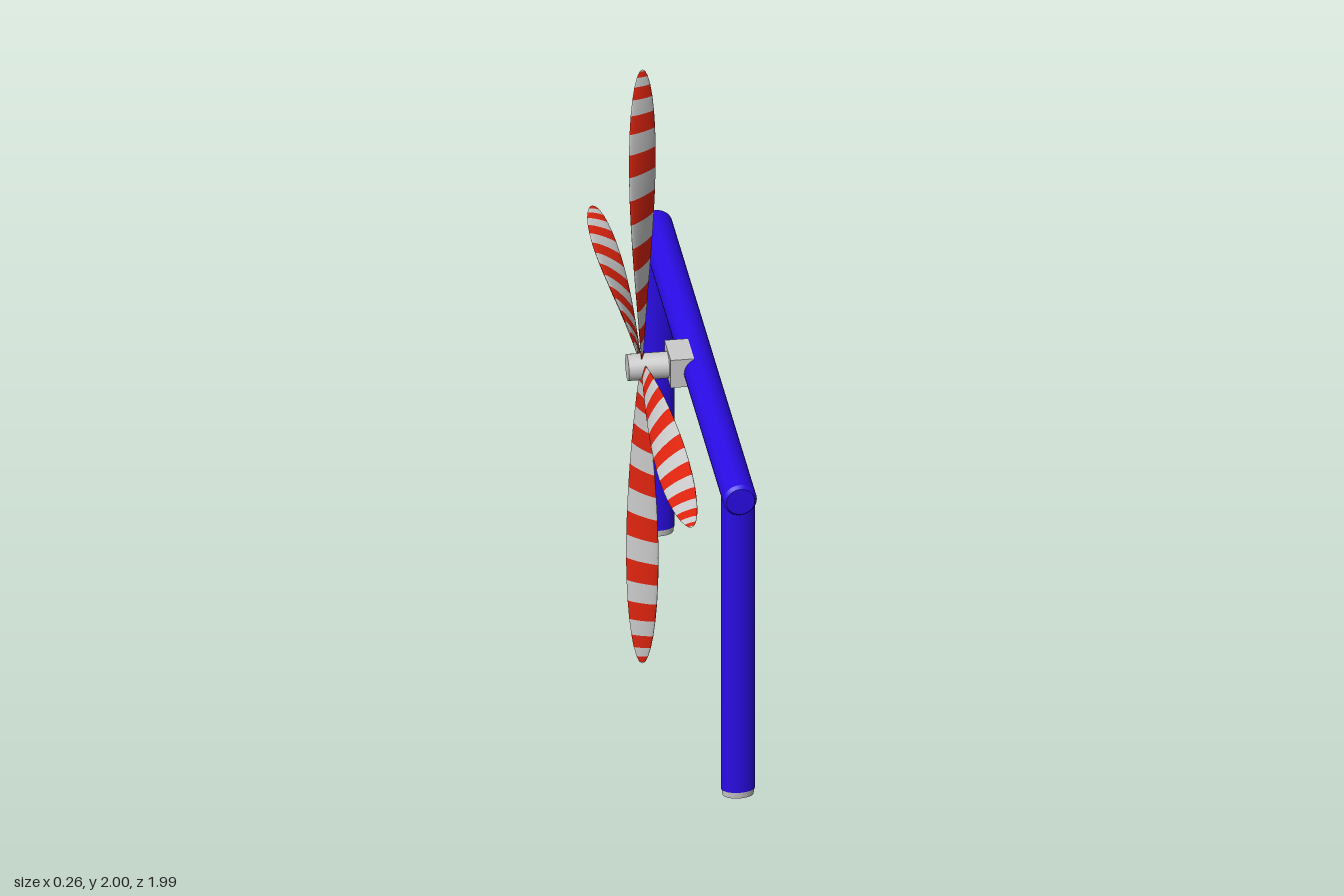
import * as THREE from 'three';

const AXLE_Y = 1.005, BEAM_X = 0.08, ROTOR_X = -0.085;

const mat = (color) => new THREE.MeshStandardMaterial({ color });

function addMesh(parent, name, geometry, material, x = 0, y = 0, z = 0) {
  const mesh = new THREE.Mesh(geometry, material);
  mesh.name = name;
  mesh.position.set(x, y, z);
  parent.add(mesh);
  return mesh;
}

// Long thin ellipsoid standing on the axle, twisted from root to tip
function bladeGeometry(length, halfChord, halfThick, sides, bands) {
  const geo = new THREE.SphereGeometry(1, sides, bands);
  const pos = geo.attributes.position;
  for (let i = 0; i < pos.count; i++) {
    const r = (pos.getY(i) + 1) / 2;
    const a = THREE.MathUtils.degToRad(78 - 66 * r);
    const c = pos.getX(i) * halfChord, t = pos.getZ(i) * halfThick;
    pos.setXYZ(i, c * Math.cos(a) + t * Math.sin(a), r * length, t * Math.cos(a) - c * Math.sin(a));
  }
  geo.computeVertexNormals();
  return geo;
}

// Every second band of the blade, starting at the given one
function stripes(geo, sides, bands, first) {
  const all = Array.from(geo.index.array), picked = [];
  for (let b = first; b < bands; b += 2) {
    const start = b === 0 ? 0 : sides * (6 * b - 3);
    const count = sides * (b === 0 || b === bands - 1 ? 3 : 6);
    picked.push(...all.slice(start, start + count));
  }
  const part = geo.clone();
  part.setIndex(picked);
  return part;
}

export function createModel() {
  const model = new THREE.Group();
  model.name = 'windRotorOnStand';
  const blue = mat(0x2a0ce6), red = mat(0xe0240f), grey = mat(0xcccccc);

  // Crossbeam with slightly chamfered ends
  const profile = [[0, -0.862], [0.042, -0.862], [0.05, -0.85], [0.05, 0.85], [0.042, 0.862], [0, 0.862]];
  const beamShape = [];
  profile.forEach(([r, h], i) => {
    // doubled points keep the edges sharp
    beamShape.push(new THREE.Vector2(r, h));
    if (i > 0 && i < profile.length - 1) beamShape.push(new THREE.Vector2(r, h));
  });
  const beamGeo = new THREE.LatheGeometry(beamShape, 32);
  addMesh(model, 'crossbeam', beamGeo, blue, BEAM_X, AXLE_Y, 0).rotation.x = Math.PI / 2;

  // Oval legs with grey feet
  const legGeo = new THREE.CylinderGeometry(0.05, 0.05, 0.985, 32).scale(1, 1, 0.66);
  const footGeo = new THREE.CylinderGeometry(0.049, 0.046, 0.02, 32).scale(1, 1, 0.66);
  for (const [side, z] of [['front', 0.81], ['back', -0.81]]) {
    addMesh(model, side + 'Leg', legGeo, blue, BEAM_X, 0.5125, z);
    addMesh(model, side + 'Foot', footGeo, grey, BEAM_X, 0.01, z);
  }

  // Bearing block and axle
  addMesh(model, 'bearingBlock', new THREE.BoxGeometry(0.07, 0.092, 0.126), grey, 0.025, 1.007, 0);
  const axleGeo = new THREE.CylinderGeometry(0.04, 0.04, 0.13, 20);
  addMesh(model, 'axle', axleGeo, grey, -0.065, AXLE_Y, 0).rotation.z = Math.PI / 2;

  // Four striped blades around the axle
  const sides = 24, bands = 20;
  const blade = bladeGeometry(0.995, 0.056, 0.009, sides, bands);
  const greyStripes = stripes(blade, sides, bands, 0);
  const redStripes = stripes(blade, sides, bands, 1);
  const rotor = new THREE.Group();
  rotor.name = 'rotor';
  rotor.position.set(ROTOR_X, AXLE_Y, 0);
  for (let i = 0; i < 4; i++) {
    const group = new THREE.Group();
    group.name = 'blade' + (i + 1);
    group.rotation.x = i * Math.PI / 2;
    addMesh(group, 'greyStripes', greyStripes, grey);
    addMesh(group, 'redStripes', redStripes, red);
    rotor.add(group);
  }
  model.add(rotor);
  return model;
}
